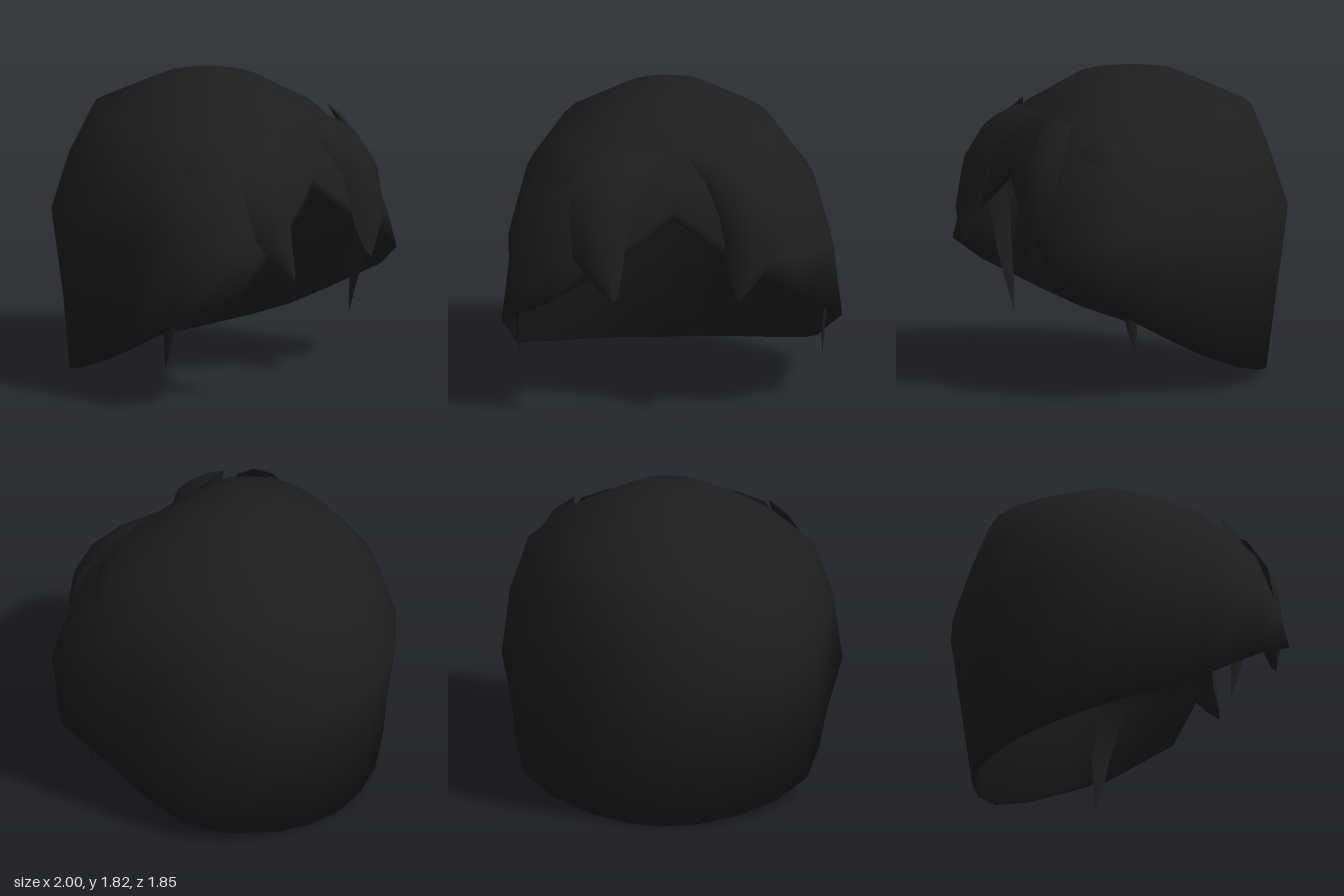
import * as THREE from 'three';
import { toCreasedNormals } from 'three/addons/utils/BufferGeometryUtils.js';

// Skin closed loops of points; rows may collapse to a single point
function loft(rows, crease, flip = false) {
  const pos = [];
  const tri = (a, b, c) => {
    const area = new THREE.Vector3().crossVectors(b.clone().sub(a), c.clone().sub(a)).length();
    if (area < 1e-7) return;
    for (const p of flip ? [a, c, b] : [a, b, c]) pos.push(p.x, p.y, p.z);
  };
  for (let r = 0; r < rows.length - 1; r++) {
    const n = rows[r].length;
    for (let c = 0; c < n; c++) {
      const d = (c + 1) % n;
      tri(rows[r][c], rows[r][d], rows[r + 1][d]);
      tri(rows[r][c], rows[r + 1][d], rows[r + 1][c]);
    }
  }
  const g = new THREE.BufferGeometry();
  g.setAttribute('position', new THREE.Float32BufferAttribute(pos, 3));
  return toCreasedNormals(g, crease);
}

const V = (x, y, z) => new THREE.Vector3(x, y, z);

// Half of the lower hairline, from the middle of the forehead to the nape
const HAIRLINE = [
  [0, 1.21, 0.77], [0.2, 1.06, 0.81], [0.35, 0.96, 0.82], [0.52, 0.86, 0.82], [0.76, 0.72, 0.81],
  [1, 0.53, 0.51], [0.925, 0.35, 0.18], [0.89, 0.22, -0.08], [0.83, 0.13, -0.32], [0.66, 0.07, -0.52],
  [0.42, 0.03, -0.68], [0.2, 0.01, -0.76], [0, 0, -0.78],
];

// Rings above the hairline: height, half width, widening to the front, front depth, back depth, front squareness
const RINGS = [
  [0.96, 0.91, 0.18, 0.84, 0.93, 3.5],
  [1.3, 0.82, 0.17, 0.74, 0.82, 3],
  [1.57, 0.62, 0.05, 0.56, 0.72, 2.6],
  [1.77, 0.28, 0, 0.31, 0.29, 2.2],
];

function capGeometry() {
  const half = HAIRLINE.map((p) => V(...p));
  const mirrored = half.slice(1, -1).reverse().map((p) => V(-p.x, p.y, p.z));
  const rim = [...half, ...mirrored];
  const rings = RINGS.map(([y, width, widen, zf, zb, square], i) => rim.map((p) => {
    const t = Math.atan2(p.x, p.z);
    const s = Math.sin(t), c = Math.cos(t);
    const front = Math.max(0, c);
    const n = c > 0 ? square : 2;
    const rx = width + widen * front;
    const r = (Math.abs(s / rx) ** n + Math.abs(c / (c > 0 ? zf : zb)) ** n) ** (-1 / n);
    let h = y;
    if (i === 0) h = Math.max(y, p.y + 0.06);
    if (i === 1) h += 0.07 * front ** 2;
    return V(r * s, h, r * c - (i === 0 ? (h - y) * 0.22 : 0));
  }));
  const outer = [rim, ...rings, rim.map(() => V(0, 1.82, 0.02))];
  // Lining slightly inside the outer surface
  const inner = outer.map((row, i) => row.map((p) => V(p.x * 0.97, p.y + (i ? -0.03 : 0.01), p.z * 0.97)));
  return loft([...inner.reverse(), ...outer], Math.PI);
}

// Stations: edge a, edge b, bulge. The bulge direction is the outer side of the lock
function lockGeometry(stations, out, side) {
  const dir = V(...out);
  const rows = stations.map(([a, b, bulge]) => {
    const A = V(...a), B = V(...b);
    const at = (t, k) => A.clone().lerp(B, t).addScaledVector(dir, bulge * k);
    return [A, at(0.25, 0.8), at(0.55, 1), at(0.82, 0.65), B, at(0.5, -0.8)]
      .map((p) => V(p.x * side, p.y, p.z));
  });
  return loft(rows, 1.05, side > 0);
}

const FRINGE = [
  [[0.05, 1.57, 0.55], [0.05, 1.57, 0.55], 0],
  [[0.18, 1.43, 0.7], [0.38, 1.565, 0.56], 0.07],
  [[0.26, 1.24, 0.8], [0.54, 1.47, 0.64], 0.1],
  [[0.29, 1.08, 0.82], [0.62, 1.28, 0.74], 0.1],
  [[0.31, 0.92, 0.85], [0.6, 1.0, 0.81], 0.09],
  [[0.34, 0.79, 0.9], [0.45, 0.82, 0.88], 0.03],
  [[0.37, 0.75, 0.92], [0.37, 0.75, 0.92], 0],
];

const SIDE_LOCK = [
  [[0.57, 1.57, 0.44], [0.57, 1.57, 0.44], 0],
  [[0.58, 1.45, 0.58], [0.69, 1.49, 0.39], 0.03],
  [[0.68, 1.25, 0.59], [0.84, 1.28, 0.37], 0.025],
  [[0.84, 0.95, 0.55], [0.93, 0.95, 0.37], 0.02],
  [[0.9, 0.6, 0.46], [0.92, 0.6, 0.36], 0.015],
  [[0.89, 0.45, 0.425], [0.9, 0.45, 0.355], 0.015],
  [[0.89, 0.24, 0.36], [0.89, 0.24, 0.36], 0],
];

export function createModel() {
  const group = new THREE.Group();
  group.name = 'hair';
  const hair = new THREE.MeshStandardMaterial({ color: 0x1e1e1e });
  hair.name = 'black hair';
  const add = (name, geometry) => {
    const mesh = new THREE.Mesh(geometry, hair);
    mesh.name = name;
    group.add(mesh);
  };

  add('hairCap', capGeometry());
  for (const side of [1, -1]) {
    const label = side > 0 ? 'left' : 'right';
    add(label + 'FringeLock', lockGeometry(FRINGE, [0, 0, 1], side));
    add(label + 'SideLock', lockGeometry(SIDE_LOCK, [0.9, 0.3, 0.2], side));
  }
  return group;
}
